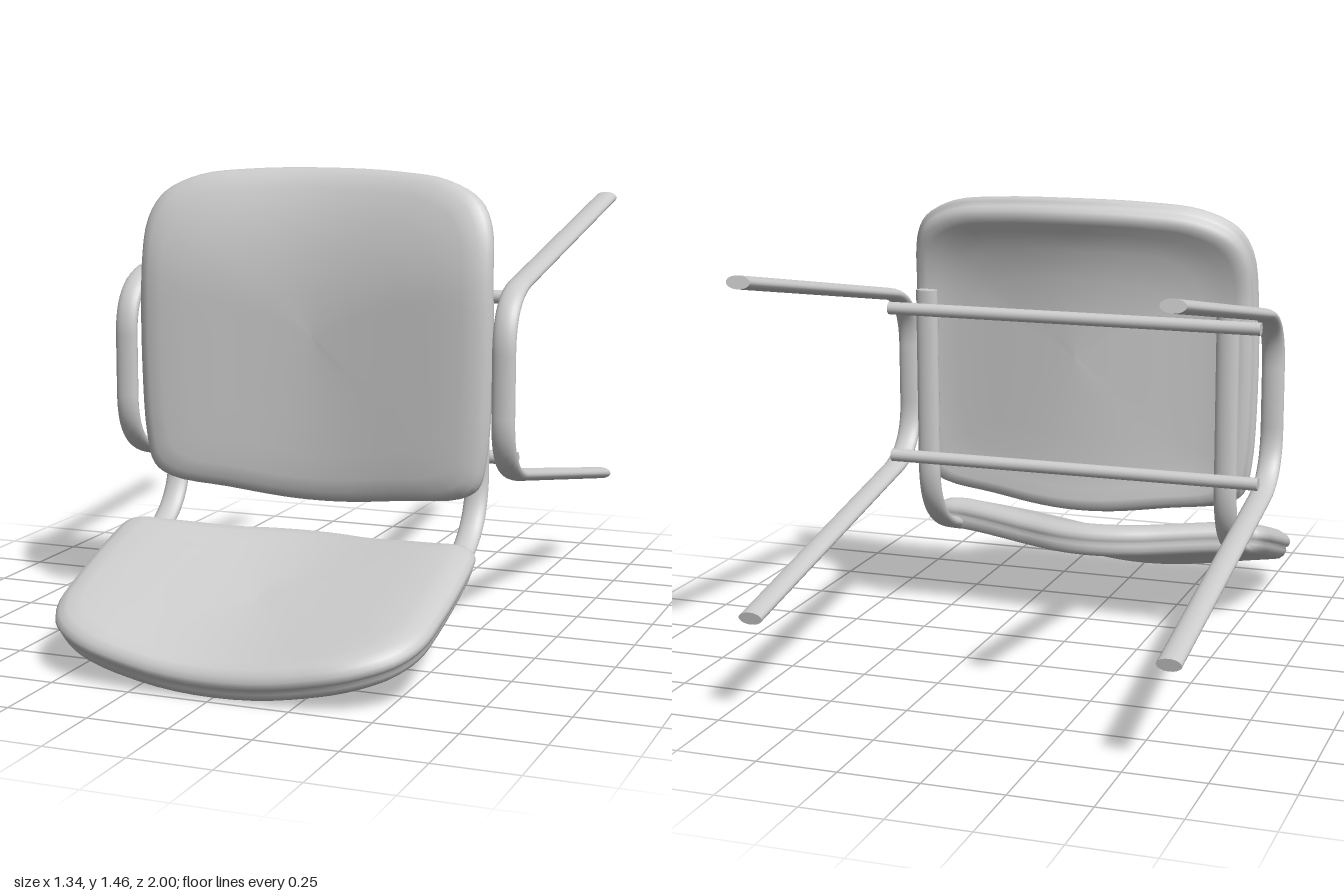
import * as THREE from 'three';
import { mergeGeometries } from 'three/addons/utils/BufferGeometryUtils.js';

const material = new THREE.MeshStandardMaterial({ color: 0xcccccc, roughness: 0.7 });

// Cushion cross-section, from front centre over the rim to back centre: [outline scale, height]
const PAD_PROFILE = [
  [0, 0], [0.25, 0], [0.5, 0], [0.7, 0], [0.85, -0.001], [0.93, -0.007], [0.975, -0.021],
  [0.995, -0.036], [1, -0.048], [0.992, -0.06], [0.976, -0.067], [0.982, -0.078], [0.97, -0.095],
  [0.945, -0.107], [0.9, -0.11], [0.83, -0.1], [0.7, -0.095], [0.5, -0.093], [0.25, -0.093], [0, -0.093],
];

// Mirror half an outline, skin it with the cushion profile and bend it with place(u, v, h)
function padGeometry(half, centreV, place, flip) {
  const left = half.slice(1, -1).reverse().map(([u, v]) => [-u, v]);
  const curve = new THREE.CatmullRomCurve3(
    [...half, ...left].map(([u, v]) => new THREE.Vector3(u, v, 0)), true);
  const n = 96;
  const outline = curve.getPoints(n).slice(0, n);
  const positions = [], index = [];
  PAD_PROFILE.forEach(([s, h], i) => {
    outline.forEach((p, j) => {
      positions.push(...place(p.x * s, centreV + (p.y - centreV) * s, h));
      if (i === 0) return;
      const k = (j + 1) % n;
      const a = (i - 1) * n + j, b = i * n + j, c = i * n + k, d = (i - 1) * n + k;
      const tris = [];
      if (i > 1) tris.push([a, c, d]);
      if (i < PAD_PROFILE.length - 1 || i === 1) tris.push([a, b, c]);
      tris.forEach(([x, y, z]) => index.push(...(flip ? [x, z, y] : [x, y, z])));
    });
  });
  const g = new THREE.BufferGeometry();
  g.setAttribute('position', new THREE.Float32BufferAttribute(positions, 3));
  g.setIndex(index);
  g.computeVertexNormals();
  return g;
}

// Flattened tube along a [z, y] path whose corners are rounded; capped at both ends
function flatTubeGeometry(points, corner, halfWidth, halfThickness) {
  const pts = points.map(([z, y]) => new THREE.Vector3(0, y, z));
  const path = new THREE.CurvePath();
  let from = pts[0];
  for (let i = 1; i < pts.length - 1; i++) {
    const toward = (q) => pts[i].clone().add(q.clone().sub(pts[i]).setLength(corner));
    const start = toward(pts[i - 1]), end = toward(pts[i + 1]);
    path.add(new THREE.LineCurve3(from, start));
    path.add(new THREE.QuadraticBezierCurve3(start, pts[i], end));
    from = end;
  }
  path.add(new THREE.LineCurve3(from, pts[pts.length - 1]));
  const parts = [new THREE.TubeGeometry(path, 120, halfThickness, 20, false)];
  for (const t of [0, 1]) {
    const dir = path.getTangentAt(t).multiplyScalar(t ? 1 : -1);
    const cap = new THREE.CircleGeometry(halfThickness, 20);
    cap.applyQuaternion(new THREE.Quaternion().setFromUnitVectors(new THREE.Vector3(0, 0, 1), dir));
    const end = path.getPointAt(t);
    parts.push(cap.translate(end.x, end.y, end.z));
  }
  return mergeGeometries(parts).scale(halfWidth / halfThickness, 1, 1);
}

export function createModel() {
  const model = new THREE.Group();
  const add = (name, geometry, x = 0, y = 0, z = 0) => {
    const mesh = new THREE.Mesh(geometry, material);
    mesh.name = name;
    mesh.position.set(x, y, z);
    model.add(mesh);
    return mesh;
  };
  const sag = (x, depth) => depth * (1 + Math.cos(Math.PI * Math.min(1, Math.abs(x) / 0.6))) / 2;

  // Seat cushion: upright panel, hollowed across its width, curling back at the top
  const seatOutline = [
    [0, 1.492], [0.25, 1.485], [0.42, 1.463], [0.53, 1.405], [0.575, 1.32], [0.588, 1.15], [0.59, 0.85],
    [0.575, 0.6], [0.55, 0.51], [0.49, 0.472], [0.3, 0.447], [0.12, 0.425], [0, 0.42],
  ];
  add('seat', padGeometry(seatOutline, 0.95, (x, y, h) => {
    const curl = Math.max(0, y - 1.08);
    return [x, y + h * 1.2 * curl, 0.25 - 0.6 * curl * curl - sag(x, 0.05) + h * (1 - 0.35 * curl)];
  }, true));

  // Backrest cushion: sloping panel, hollowed across its width
  const backOutline = [
    [0, 1.012], [0.25, 1.01], [0.42, 0.985], [0.53, 0.92], [0.58, 0.83], [0.595, 0.7], [0.597, 0.45],
    [0.59, 0.37], [0.57, 0.34], [0.48, 0.325], [0.25, 0.272], [0.12, 0.235], [0, 0.222],
  ];
  add('backrest', padGeometry(backOutline, 0.63, (x, z, h) =>
    [x, 0.375 - 0.325 * (z - 0.36) - sag(x, 0.06) + h * 0.95, z + h * 0.31], false));

  // Side frames: legs joined by a rounded bend, and the uprights holding both cushions
  const legs = flatTubeGeometry([[-1, 1.327], [0.23, 1.1], [0.23, 0.565], [-1, 0.337]], 0.17, 0.0375, 0.02);
  const support = flatTubeGeometry([[0.1, 1.145], [0.1, 0.36], [0.38, 0.27]], 0.19, 0.038, 0.021);
  for (const [side, s] of [['left', 1], ['right', -1]]) {
    add(side + 'Legs', legs, s * 0.633);
    add(side + 'Support', support, s * 0.513);
  }

  // Cross bars under the seat
  const bar = new THREE.CylinderGeometry(0.021, 0.021, 1.26, 20).rotateZ(Math.PI / 2);
  add('upperCrossBar', bar, 0, 1.085, 0.055);
  add('lowerCrossBar', bar, 0, 0.583, 0.06);
  return model;
}
